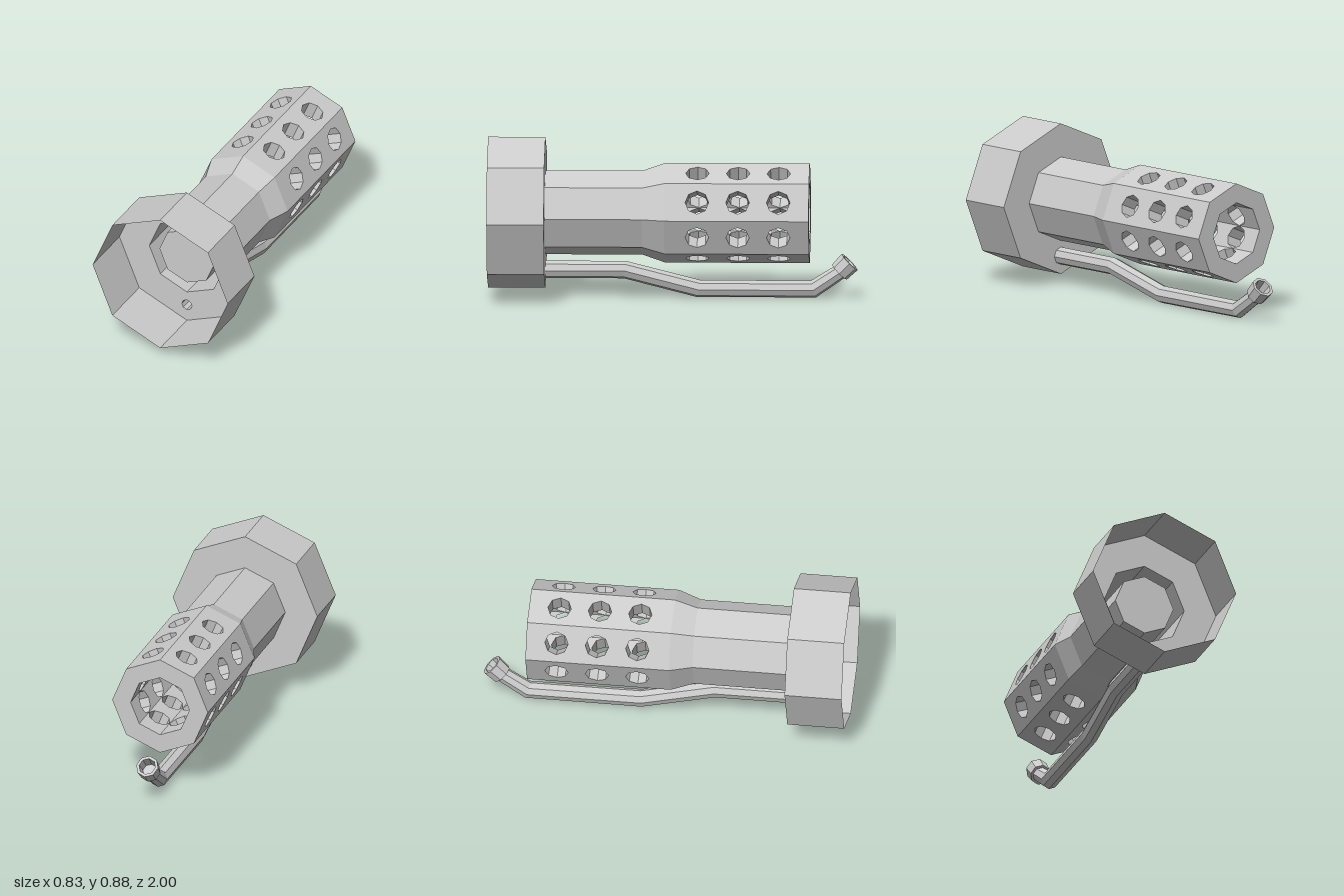
import * as THREE from 'three';

const SIDES = 8, AXIS = 0.465;          // octagonal sections, height of the barrel axis
const COS = Math.cos(Math.PI / SIDES), SIN = Math.sin(Math.PI / SIDES);
const BACK = -0.74, PLATE = 0.69;       // rear of the barrel, plate behind the collar
const OUTER = 0.273, NECK = 0.23, INNER = 0.168, HOLE = 0.0635;

const material = new THREE.MeshStandardMaterial({
  color: 0xcccccc, flatShading: true, side: THREE.DoubleSide,
});

function part(name, geometry) {
  const mesh = new THREE.Mesh(geometry, material);
  mesh.name = name;
  return mesh;
}

// Octagon rings [z, y, radius, tilt] joined into one skin running towards -z
function loft(rings) {
  const pos = [], index = [];
  rings.forEach(([z, y, r, tilt = 0], j) => {
    for (let i = 0; i < SIDES; i++) {
      const a = (i / SIDES) * Math.PI * 2, up = r * Math.sin(a);
      pos.push(r * Math.cos(a), y + up * Math.cos(tilt), z + up * Math.sin(tilt));
      if (j === 0) continue;
      const n = (i + 1) % SIDES, p = (j - 1) * SIDES, q = j * SIDES;
      index.push(p + i, q + n, q + i, p + i, p + n, q + n);
    }
  });
  const g = new THREE.BufferGeometry();
  g.setAttribute('position', new THREE.Float32BufferAttribute(pos, 3));
  g.setIndex(index);
  g.computeVertexNormals();
  return g;
}

function octagon(r, cx = 0, cy = 0) {
  return Array.from({ length: SIDES }, (_, i) => {
    const a = (i / SIDES) * Math.PI * 2;
    return new THREE.Vector2(cx + r * Math.cos(a), cy + r * Math.sin(a));
  });
}

// One flat side of an octagonal tube, with three vent holes
const VENTS = [-0.135, -0.355, -0.575];
function ventedPanel(radius, frontZ) {
  const w = radius * SIN;
  const shape = new THREE.Shape([
    new THREE.Vector2(-w, -frontZ), new THREE.Vector2(w, -frontZ),
    new THREE.Vector2(w, -BACK), new THREE.Vector2(-w, -BACK),
  ]);
  for (const z of VENTS) shape.holes.push(new THREE.Path(octagon(HOLE, 0, -z)));
  return new THREE.ShapeGeometry(shape).rotateX(-Math.PI / 2).translate(0, radius * COS, 0);
}

export function createModel() {
  const model = new THREE.Group();
  model.name = 'ventedBarrel';

  // Open collar at the front and the plate behind it
  model.add(part('collar', loft([[1, AXIS, 0.413], [PLATE, AXIS, 0.413]])));
  const plate = new THREE.Shape(octagon(0.413));
  plate.holes.push(new THREE.Path(octagon(NECK)));
  plate.holes.push(new THREE.Path(octagon(0.048, 0, 0.152 - AXIS)));
  model.add(part('collarPlate', new THREE.ShapeGeometry(plate).translate(0, AXIS, PLATE)));

  // Neck widening into the vented jacket, and the rear rim
  model.add(part('neck', loft([
    [PLATE, AXIS, NECK], [0.165, AXIS, NECK], [0.042, AXIS, OUTER],
  ])));
  model.add(part('rearRim', loft([[BACK, AXIS, OUTER], [BACK, AXIS, INNER]])));
  model.add(part('innerTubeCap',
    new THREE.ShapeGeometry(new THREE.Shape(octagon(INNER))).translate(0, AXIS, PLATE)));

  // Eight sides of the outer jacket and inner tube, joined by the vent walls
  const outerPanel = ventedPanel(OUTER, 0.042), innerPanel = ventedPanel(INNER, PLATE);
  const depth = (OUTER - INNER) * COS;
  const ventWall = new THREE.CylinderGeometry(HOLE, HOLE, depth, SIDES, 1, true);
  for (let i = 0; i < SIDES; i++) {
    const side = new THREE.Group();
    side.name = 'barrelSide';
    side.add(part('jacketPanel', outerPanel), part('innerPanel', innerPanel));
    for (const z of VENTS) {
      const wall = part('ventWall', ventWall);
      wall.position.set(0, INNER * COS + depth / 2, z);
      side.add(wall);
    }
    side.position.y = AXIS;
    side.rotation.z = ((i + 0.5) / SIDES) * Math.PI * 2;
    model.add(side);
  }

  // Bent pipe below, with a recessed mouth in the plate
  model.add(part('pipe', loft([
    [0.62, 0.152, 0], [0.62, 0.152, 0.031], [PLATE, 0.152, 0.031], [PLATE, 0.152, 0.048],
    [0.26, 0.152, 0.048, -0.13], [-0.14, 0.05, 0.048, -0.13],
    [-0.76, 0.05, 0.048, 0.32], [-0.9, 0.143, 0.043, 0.78],
  ])));

  // Hollow nozzle at the end of the pipe
  model.add(part('nozzle', loft([
    [-0.9, 0.143, 0.04, 0.78], [-0.9, 0.143, 0.057, 0.78], [-0.956, 0.199, 0.062, 0.78],
    [-0.956, 0.199, 0.046, 0.78], [-0.91, 0.153, 0.04, 0.78], [-0.91, 0.153, 0, 0.78],
  ])));

  return model;
}
